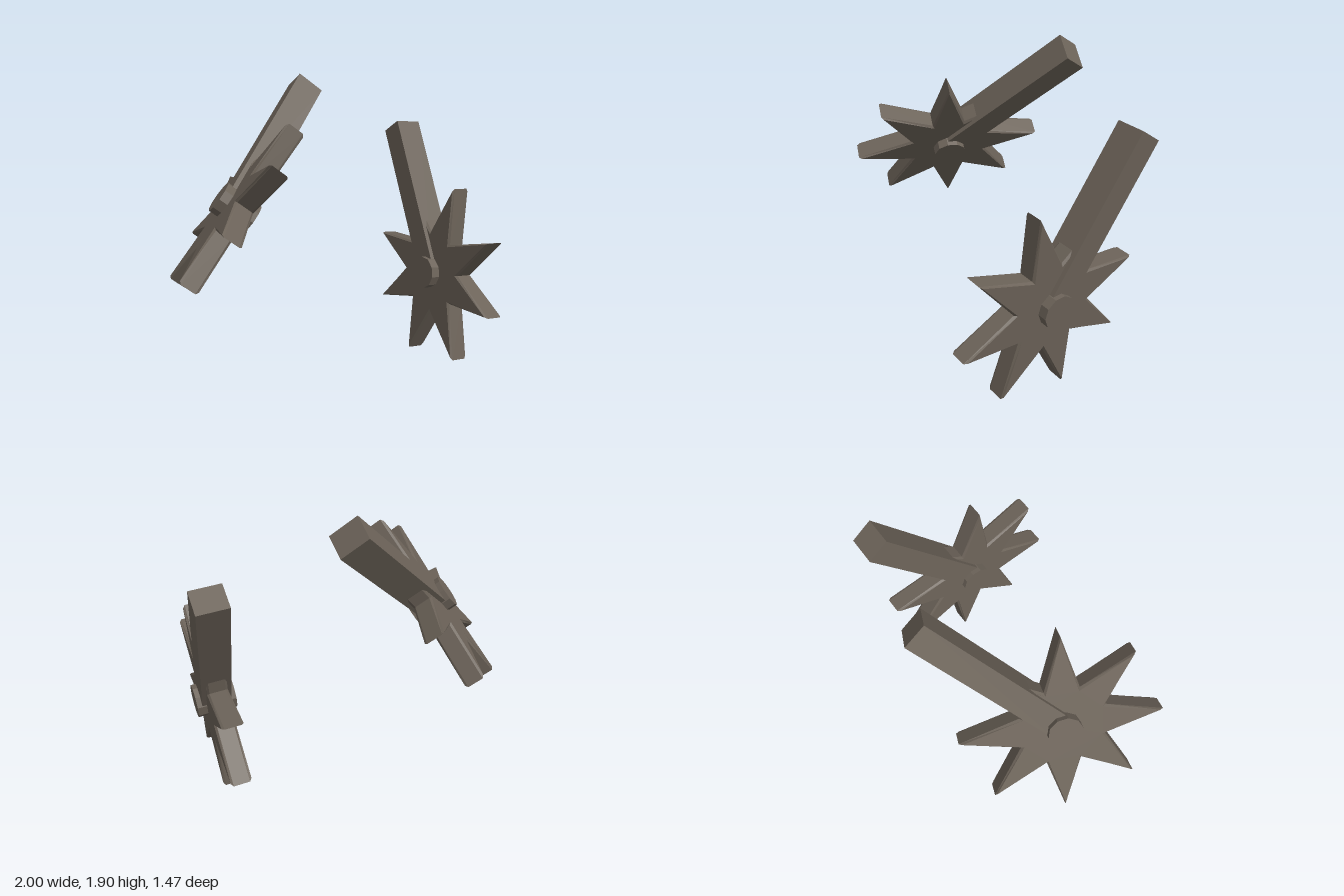
import * as THREE from 'three';

const darkMetal = new THREE.MeshStandardMaterial({ color: 0x6b6258 });
darkMetal.name = 'darkMetal';

function part(name, geometry) {
  const mesh = new THREE.Mesh(geometry, darkMetal);
  mesh.name = name;
  return mesh;
}

// Eight-pointed star lying in the local YZ plane, one point along +Y
function starGeometry(points, outer, inner, thickness) {
  const outline = [];
  for (let i = 0; i < points * 2; i++) {
    const r = i % 2 ? inner : outer;
    const a = (i * Math.PI) / points;
    outline.push(new THREE.Vector2(r * Math.sin(a), r * Math.cos(a)));
  }
  const bevel = 0.014;
  const geometry = new THREE.ExtrudeGeometry(new THREE.Shape(outline), {
    depth: thickness - 2 * bevel,
    bevelEnabled: true,
    bevelThickness: bevel,
    bevelSize: bevel,
    bevelOffset: -bevel,
    bevelSegments: 1,
  });
  geometry.translate(0, 0, bevel - thickness / 2);
  return geometry.rotateY(Math.PI / 2);
}

// Wheel, axle and arm: local X is the axle, local Y runs along the arm
function createSpur(name, center, armDirection, axle) {
  const spur = new THREE.Group();
  spur.name = name;

  spur.add(part('starWheel', starGeometry(8, 0.61, 0.275, 0.128)));

  const arm = new THREE.BoxGeometry(0.185, 1.085, 0.16);
  spur.add(part('arm', arm.translate(0, 1.085 / 2, 0)));

  const hub = new THREE.CylinderGeometry(0.105, 0.105, 0.245, 10).toNonIndexed();
  hub.computeVertexNormals();
  spur.add(part('hub', hub.rotateZ(Math.PI / 2)));

  // Orthonormal frame from the arm and axle directions
  const y = new THREE.Vector3(...armDirection).normalize();
  const z = new THREE.Vector3(...axle).cross(y).normalize();
  const x = new THREE.Vector3().crossVectors(y, z);
  spur.quaternion.setFromRotationMatrix(new THREE.Matrix4().makeBasis(x, y, z));
  spur.position.set(...center);
  return spur;
}

export function createModel() {
  const model = new THREE.Group();
  model.name = 'starSpurs';
  model.add(
    createSpur('leftSpur', [0.795, 0.58, 0.145], [0.11, 0.93, -0.555], [1, -0.085, 0.05]),
    createSpur('rightSpur', [-0.55, 1.12, -0.185], [0.745, 0.67, -0.395], [0.72, -0.61, 0.33])
  );
  return model;
}
